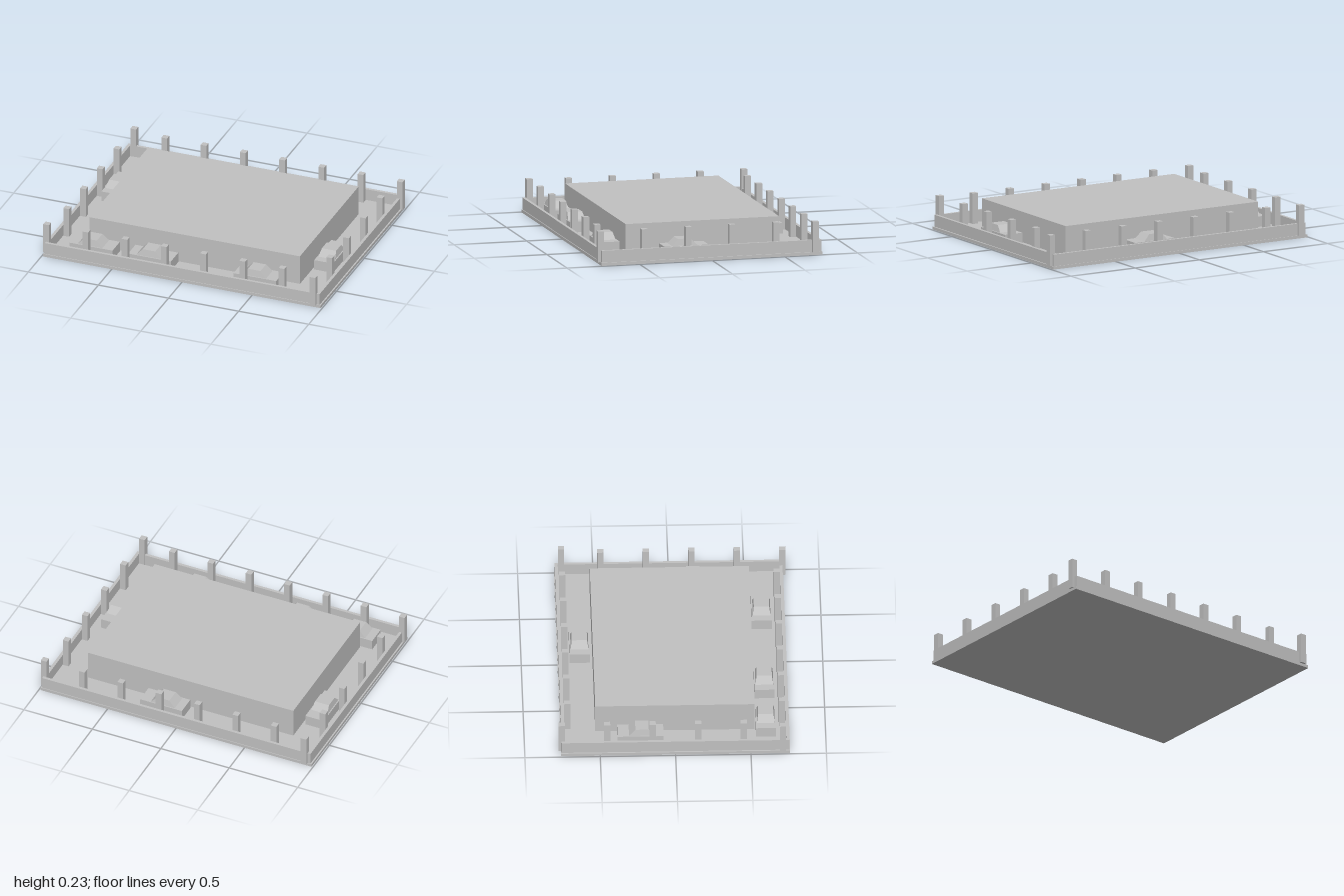
import * as THREE from 'three';

const FLOOR = 0.02, TOP = 0.227;

export function createModel() {
  const group = new THREE.Group();
  group.name = 'parkingDeck';
  const grey = new THREE.MeshStandardMaterial({ color: 0xc0c0c0 });
  grey.name = 'concrete grey';

  // box given by its size, its bottom height and its centre in plan
  function box(name, w, h, d, x, y, z, parent = group) {
    const mesh = new THREE.Mesh(new THREE.BoxGeometry(w, h, d), grey);
    mesh.name = name;
    mesh.position.set(x, y + h / 2, z);
    parent.add(mesh);
    return mesh;
  }

  // base slab and central block
  box('baseSlab', 1.98, FLOOR, 1.52, 0, 0, 0);
  box('centralBlock', 1.5, TOP - FLOOR, 1.055, 0, FLOOR, 0);

  // low parapet around the edge
  for (const s of [-1, 1]) {
    box('longParapet', 1.96, 0.08, 0.02, 0, FLOOR, s * 0.745);
    box('shortParapet', 0.02, 0.08, 1.47, s * 0.97, FLOOR, 0);
  }

  // pillars: inner rows on all four sides, corner ones in a pinwheel
  const pillar = (name, x, z) => box(name, 0.041, TOP - FLOOR, 0.041, x, FLOOR, z);
  for (const s of [-1, 1]) {
    for (let i = 0; i < 6; i++) pillar('longSidePillar', -0.7 + i * 0.28, s * 0.712);
    for (let i = 0; i < 4; i++) pillar('shortSidePillar', s * 0.938, -0.453 + i * 0.302);
    pillar('cornerPillar', s * 0.979, -s * 0.712);
    pillar('cornerPillar', s * 0.938, s * 0.754);
  }

  // parked car: plain body with a tapered cabin
  function car(x, z, turn) {
    const vehicle = new THREE.Group();
    vehicle.name = 'car';
    box('carBody', 0.305, 0.07, 0.134, 0, FLOOR, 0, vehicle);
    const cabin = box('carCabin', 0.174, 0.044, 0.118, -0.01, 0.09, 0, vehicle);
    const p = cabin.geometry.attributes.position;
    for (let i = 0; i < p.count; i++) {
      if (p.getY(i) > 0) p.setXYZ(i, p.getX(i) * 0.51, p.getY(i), p.getZ(i) * 0.86);
    }
    cabin.geometry.computeVertexNormals();
    vehicle.position.set(x, 0, z);
    vehicle.rotation.y = turn;
    group.add(vehicle);
  }
  for (const x of [-0.682, -0.266, 0.485]) car(x, 0.604, 0);
  car(0.147, -0.612, 0);
  car(-0.838, -0.23, Math.PI / 2);
  car(0.83, 0.15, Math.PI / 2);

  return group;
}
